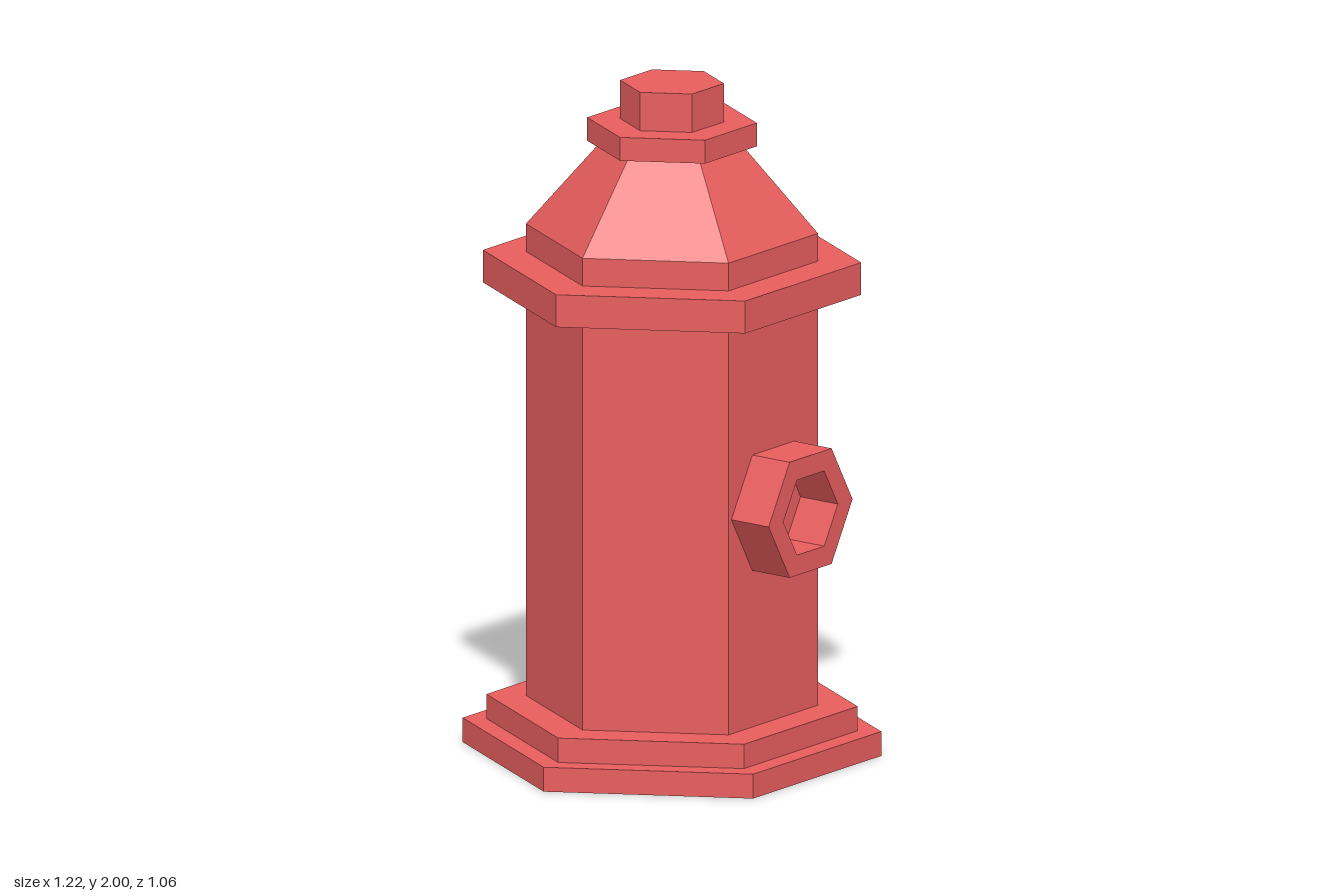
import * as THREE from 'three';

const SIDES = 6;

export function createModel() {
  const group = new THREE.Group();
  group.name = 'fireHydrant';
  const red = new THREE.MeshStandardMaterial({ color: 0xe85d5d, flatShading: true });

  const add = (name, geometry) => {
    const mesh = new THREE.Mesh(geometry, red);
    mesh.name = name;
    group.add(mesh);
    return mesh;
  };

  // Six-sided prism or taper with a flat side facing the front
  const hexPrism = (name, y0, y1, rBottom, rTop = rBottom) => {
    const geometry = new THREE.CylinderGeometry(rTop, rBottom, y1 - y0, SIDES, 1, false, Math.PI / 2);
    add(name, geometry).position.y = (y0 + y1) / 2;
  };

  // Stepped foot
  hexPrism('basePlate', 0, 0.073, 0.612);
  hexPrism('baseStep', 0.073, 0.146, 0.543);

  // Barrel and the collar around its top
  hexPrism('barrel', 0.146, 1.56, 0.427);
  hexPrism('collar', 1.38, 1.477, 0.553);

  // Tapered bonnet with cap and operating nut
  hexPrism('bonnet', 1.56, 1.815, 0.427, 0.207);
  hexPrism('cap', 1.815, 1.885, 0.248);
  hexPrism('topNut', 1.885, 2, 0.152);

  // Hollow hexagonal outlet; the barrel face closes its bore
  const hexPoints = (r) => Array.from({ length: SIDES }, (_, i) => {
    const a = (i / SIDES) * Math.PI * 2;
    return new THREE.Vector2(Math.cos(a) * r, Math.sin(a) * r);
  });
  const ring = new THREE.Shape(hexPoints(0.2));
  ring.holes.push(new THREE.Path(hexPoints(0.13).reverse()));
  const outlet = add('outlet', new THREE.ExtrudeGeometry(ring, { depth: 0.14, bevelEnabled: false }));
  outlet.position.set(0, 0.788, 0.366);

  return group;
}
